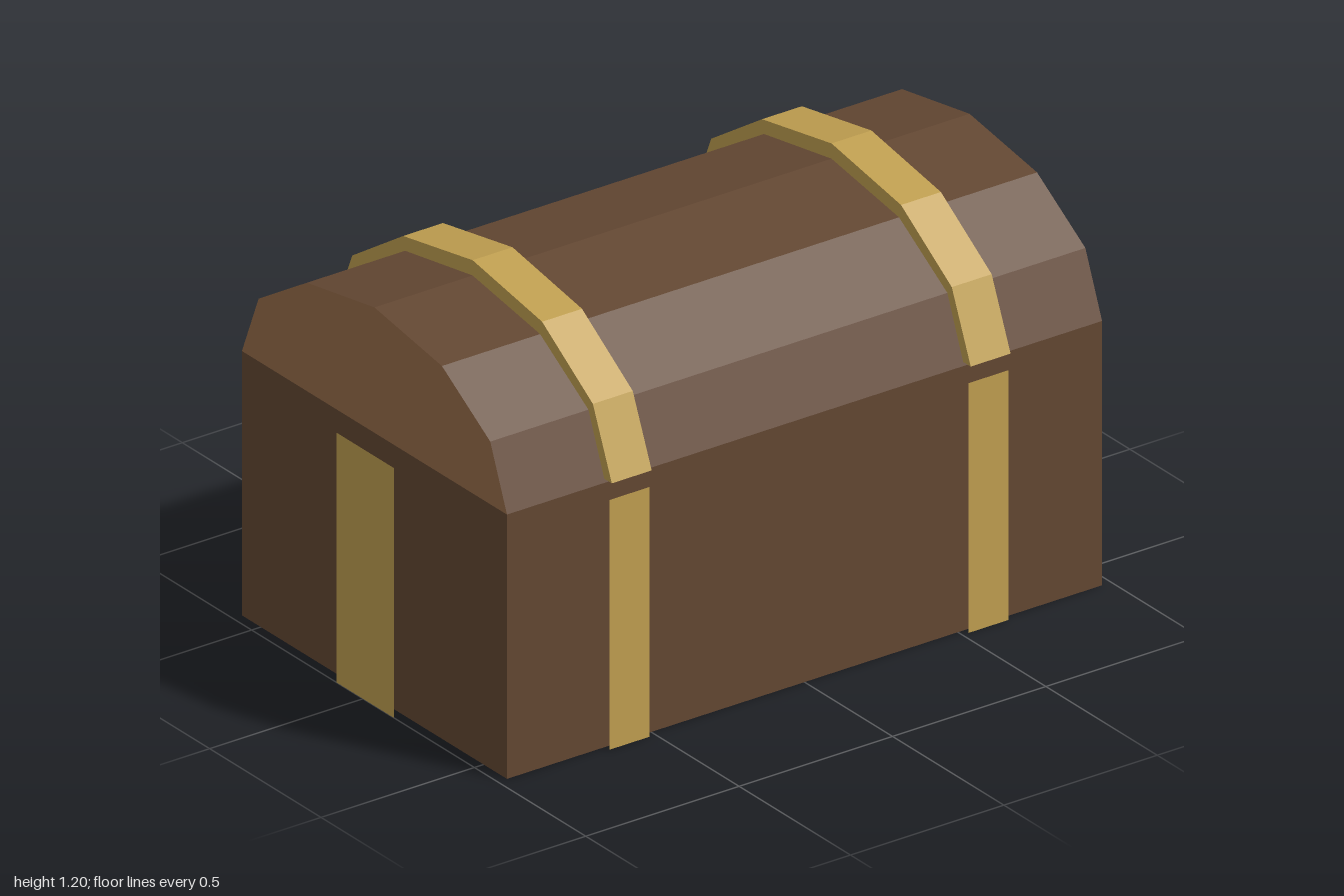
import * as THREE from 'three';

const mat = (name, color, side = THREE.FrontSide) => {
  const m = new THREE.MeshStandardMaterial({ color, side });
  m.name = name;
  return m;
};

export function createModel() {
  const wood = mat('dark wood', 0x634732);
  const lidEnd = mat('light wood', 0x976d4a);
  const brass = mat('brass', 0xc09f50, THREE.DoubleSide);
  const lockPaint = mat('magenta', 0xe00be0);
  const holeDark = mat('keyhole dark', 0x4a3a1c);

  const chest = new THREE.Group();
  chest.name = 'chest';
  const zMid = 0.01; // the box sits slightly off centre because of the bands

  const add = (name, geometry, material, x, y, z) => {
    const mesh = new THREE.Mesh(geometry, material);
    mesh.name = name;
    mesh.position.set(x, y, z);
    chest.add(mesh);
    return mesh;
  };
  const box = (name, material, w, h, d, x, y, z) =>
    add(name, new THREE.BoxGeometry(w, h, d), material, x, y, z);

  // Half profiles of the arch, (distance from the middle, height), mirrored
  const mirror = (half) => [
    ...half.map(([a, y]) => new THREE.Vector2(-a, y)),
    ...half.slice(0, -1).reverse().map(([a, y]) => new THREE.Vector2(a, y)),
  ];
  const inner = mirror([[0.595, 0.78], [0.52, 0.965], [0.303, 1.1], [0, 1.15]]);
  const outer = mirror([[0.625, 0.79], [0.54, 0.99], [0.312, 1.14], [0, 1.195]]);

  // Extrude a cross-section along x
  const alongX = (points, width) => {
    const g = new THREE.ExtrudeGeometry(new THREE.Shape(points), { depth: width, bevelEnabled: false });
    g.translate(0, 0, -width / 2);
    g.rotateY(Math.PI / 2);
    return g;
  };

  // Box and arched lid, with lighter lid ends
  box('body', wood, 1.94, 0.78, 1.19, 0, 0.39, zMid);
  add('lid', alongX(inner, 1.94), [lidEnd, wood], 0, 0, zMid);

  // Two bands over the lid, with floating straps below them front and back
  const bandInner = inner.map((p) => p.clone());
  bandInner[0].set(-0.591, 0.79);
  bandInner[bandInner.length - 1].set(0.591, 0.79);
  const bandPoints = [...outer, ...bandInner.reverse()];
  for (const side of [-1, 1]) {
    const x = side * 0.585;
    add('lidBand', alongX(bandPoints, 0.13), brass, x, 0, zMid);
    add('frontStrap', new THREE.PlaneGeometry(0.13, 0.737), brass, x, 0.3685, zMid + 0.615);
    add('backStrap', new THREE.PlaneGeometry(0.13, 0.737), brass, x, 0.3685, zMid - 0.615).rotation.y = Math.PI;
    add('sideStrap', new THREE.PlaneGeometry(0.26, 0.737), brass, side, 0.3685, zMid).rotation.y = side * Math.PI / 2;
  }
  // Second strap layer lying on the left wall
  add('innerSideStrap', new THREE.PlaneGeometry(0.26, 0.737), brass, 0.972, 0.3685, zMid).rotation.y = Math.PI / 2;

  // Lock on the back
  box('lockPlate', lockPaint, 0.3, 0.26, 0.026, 0, 0.585, -0.598);
  box('lockHasp', lockPaint, 0.165, 0.215, 0.043, 0, 0.7175, -0.6115);
  box('keyhole', holeDark, 0.05, 0.06, 0.004, 0, 0.515, -0.611);

  return chest;
}
